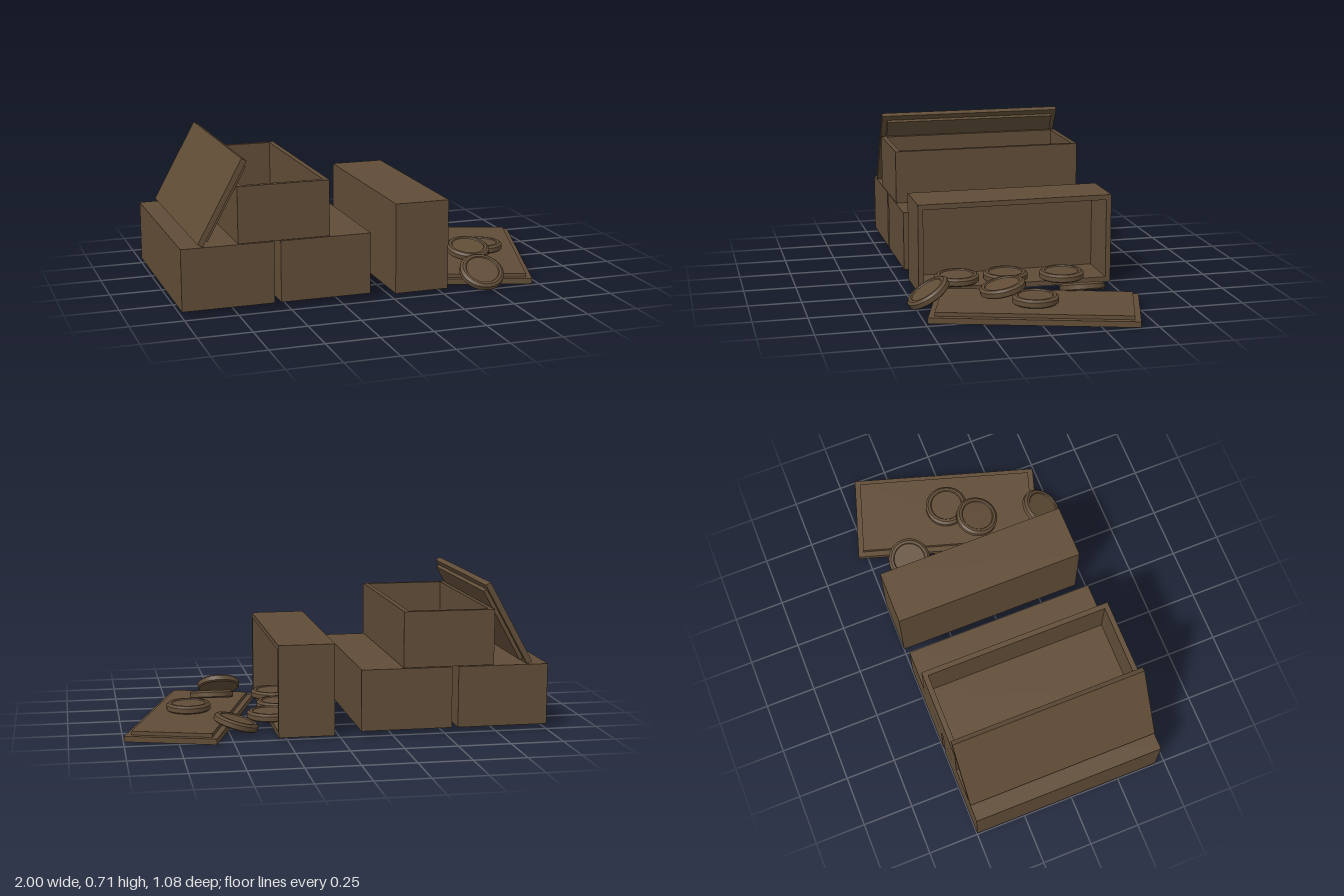
import * as THREE from 'three';
import { toCreasedNormals } from 'three/addons/utils/BufferGeometryUtils.js';

const W = 0.435, L = 0.95, H = 0.265, WALL = 0.025, LID = 0.027, Z = -0.025;

export function createModel() {
  const wood = new THREE.MeshStandardMaterial({ color: 0x614d37 });
  wood.name = 'brown';
  const model = new THREE.Group();

  const add = (parent, name, geometry, y = 0) => {
    const mesh = new THREE.Mesh(geometry, wood);
    mesh.name = name;
    mesh.position.y = y;
    parent.add(mesh);
  };
  const place = (name, [x, y, z], [rx, ry, rz] = [0, 0, 0]) => {
    const group = new THREE.Group();
    group.name = name;
    group.position.set(x, y, z);
    group.rotation.set(rx, ry, rz);
    model.add(group);
    return group;
  };

  // Rectangular outline centred on the origin
  const rect = (path, w, l) => path
    .moveTo(-w / 2, -l / 2).lineTo(w / 2, -l / 2)
    .lineTo(w / 2, l / 2).lineTo(-w / 2, l / 2).closePath();

  // Open crate: a wall ring with a floor, standing on its origin
  const ring = rect(new THREE.Shape(), W, L);
  ring.holes.push(rect(new THREE.Path(), W - 2 * WALL, L - 2 * WALL));
  const wallGeo = new THREE.ExtrudeGeometry(ring, { depth: H, bevelEnabled: false });
  wallGeo.rotateX(-Math.PI / 2);
  const floorGeo = new THREE.BoxGeometry(W - 2 * WALL, WALL, L - 2 * WALL);
  const crate = (name, position, rotation) => {
    const group = place(name, position, rotation);
    add(group, 'walls', wallGeo);
    add(group, 'floor', floorGeo, WALL / 2);
  };

  // Lid: a slab with a smaller plate underneath that fits the opening
  const slabGeo = new THREE.BoxGeometry(W, LID, L);
  const plateGeo = new THREE.BoxGeometry(W - 0.055, 0.018, L - 0.055);
  const lid = (name, position, rotation) => {
    const group = place(name, position, rotation);
    add(group, 'slab', slabGeo, LID / 2);
    add(group, 'innerPlate', plateGeo, -0.009);
  };

  // Two closed crates at the bottom of the stack
  for (const [side, x] of [['right', -0.7825], ['left', -0.3175]]) {
    crate(`${side}LowerCrate`, [x, 0.03, Z]);
    lid(`${side}LowerLid`, [x, 0.295, Z]);
  }

  // Open crate on top, with its lid leaning against it
  crate('upperCrate', [-0.5175, 0.325, Z]);
  lid('leaningLid', [-0.793, 0.514, Z], [0, 0, 1.068]);

  // Tipped crate opening to the side, with its lid upside down on the ground
  crate('tippedCrate', [0.025, 0.2325, Z], [0, 0, -Math.PI / 2]);
  lid('fallenLid', [0.648, 0.034, -0.027], [0, -0.3, Math.PI]);

  // Round discs with bevelled rims and a shallow recess
  const profile = [
    [0, -0.018], [0.1, -0.018], [0.108, -0.012], [0.108, 0.01],
    [0.096, 0.02], [0.083, 0.02], [0.079, 0.015], [0, 0.015],
  ].map(([r, y]) => new THREE.Vector2(r, y));
  const discGeo = toCreasedNormals(new THREE.LatheGeometry(profile, 32), 0.45);
  const discs = [
    [[0.47, 0.077, 0.44], [0.56, 0, 0]],
    [[0.54, 0.1, 0.103], [0.22, 0, 0]],
    [[0.665, 0.073, -0.02]],
    [[0.465, 0.052, -0.305], [0, 0, 0.3]],
    [[0.297, 0.072, -0.25]],
    [[0.218, 0.062, 0.01]],
    [[0.214, 0.064, 0.25]],
  ];
  discs.forEach(([position, rotation], i) =>
    add(place(`disc${i + 1}`, position, rotation), 'discBody', discGeo));

  return model;
}
